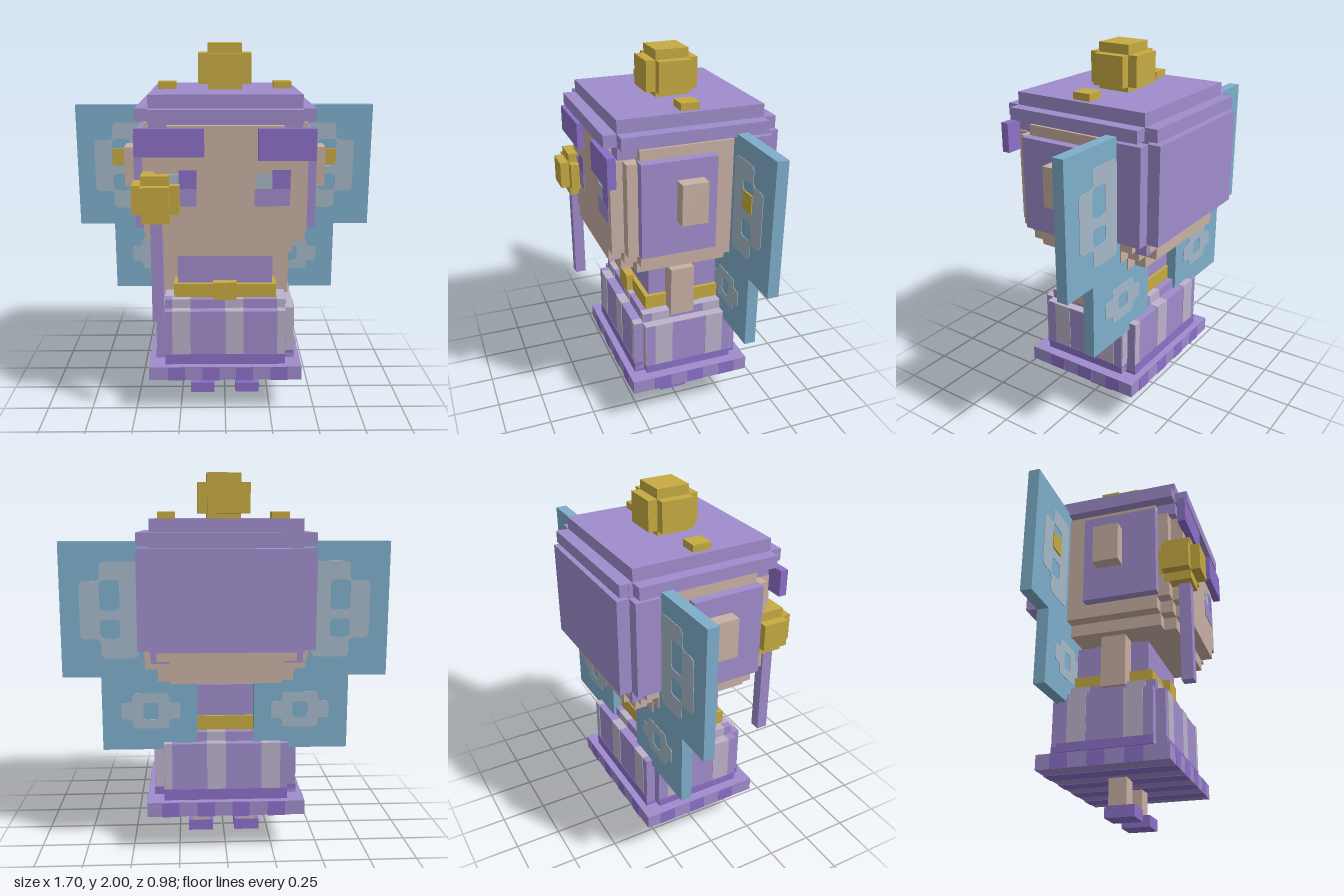
import * as THREE from 'three';

const mat = (name, color) => {
  const m = new THREE.MeshStandardMaterial({ color });
  m.name = name;
  return m;
};

export function createModel() {
  const skin = mat('skin', 0xc8b0a4), purple = mat('lilac', 0x9f8ccb), dark = mat('violet', 0x8c70c8);
  const gold = mat('gold', 0xc6aa42), blue = mat('wing blue', 0x7eaecb);
  const pale = mat('pale wing', 0xa5b8c8), stripe = mat('pale stripe', 0xbcb2cb);
  const model = new THREE.Group();
  model.name = 'wingedFigure';

  // Box given by its limits on each axis
  const box = (name, m, x0, x1, y0, y1, z0, z1, parent = model) => {
    const mesh = new THREE.Mesh(new THREE.BoxGeometry(x1 - x0, y1 - y0, z1 - z0), m);
    mesh.position.set((x0 + x1) / 2, (y0 + y1) / 2, (z0 + z1) / 2);
    mesh.name = name;
    parent.add(mesh);
    return mesh;
  };
  // Box with stepped edges: overlapping boxes, each inset by whole steps
  const soft = [[0, 1, 1], [1, 0, 1], [1, 1, 0]];
  const softer = [[0, 1, 2], [0, 2, 1], [1, 0, 2], [2, 0, 1], [1, 2, 0], [2, 1, 0], [1, 1, 1]];
  const stepped = (name, m, [x0, x1, y0, y1, z0, z1], s, insets = soft) => {
    const g = new THREE.Group();
    g.name = name;
    for (const [a, b, c] of insets)
      box(name + 'Block', m, x0 + a * s, x1 - a * s, y0 + b * s, y1 - b * s, z0 + c * s, z1 - c * s, g);
    model.add(g);
  };

  // Head, ears and hair
  stepped('head', skin, [-0.42, 0.42, 0.925, 1.68, -0.425, 0.39], 0.065, softer);
  stepped('backHair', purple, [-0.45, 0.45, 1.045, 1.685, -0.488, -0.22], 0.065);
  for (const s of [-1, 1]) {
    const side = (name, m, a, b, ...r) => box(name, m, Math.min(s * a, s * b), Math.max(s * a, s * b), ...r);
    side('sideHair', purple, 0.4, 0.47, 1.065, 1.56, -0.125, 0.27);
    side('ear', skin, 0.46, 0.54, 1.245, 1.46, -0.05, 0.087);
    side('hatStud', gold, 0.26, 0.355, 1.75, 1.8, -0.07, 0.028);
    side('arm', skin, 0.26, 0.355, 0.625, 0.9, -0.06, 0.07);
    side('leg', skin, 0.083, 0.178, 0.05, 0.21, -0.073, 0.022);
    side('shoe', dark, 0.062, 0.2, 0, 0.06, -0.085, 0.07);
    side('wingBadge', gold, 0.55, 0.648, 1.305, 1.4, -0.235, -0.222);
  }
  box('rightFringe', dark, -0.45, -0.105, 1.465, 1.605, 0.385, 0.428);
  box('leftFringe', dark, 0.16, 0.447, 1.448, 1.605, 0.385, 0.428);

  // Eyes
  for (const x of [-0.235, 0.235]) {
    box('iris', dark, x, x + 0.09, 1.3, 1.395, 0.388, 0.394);
    box('eyeGlint', pale, x - 0.08, x, 1.3, 1.375, 0.388, 0.394);
    box('lowerIris', purple, x - 0.09, x + 0.09, 1.21, 1.3, 0.388, 0.394);
  }

  // Hat with a bun on top
  stepped('hatBrim', purple, [-0.45, 0.45, 1.565, 1.763, -0.47, 0.425], 0.067);
  stepped('bun', gold, [-0.14, 0.14, 1.74, 2, -0.167, 0.11], 0.05);

  // Torso and belt
  box('neck', purple, -0.2, 0.2, 0.85, 0.95, -0.155, 0.1);
  box('torso', purple, -0.26, 0.26, 0.6, 0.89, -0.225, 0.165);
  box('belt', gold, -0.28, 0.28, 0.63, 0.72, -0.24, 0.19);
  box('buckle', gold, -0.065, 0.062, 0.64, 0.74, 0.18, 0.225);

  // Skirt with pale stripes and a dark lower band
  box('skirtSides', purple, -0.38, 0.38, 0.295, 0.59, -0.275, 0.22);
  box('skirtFront', purple, -0.33, 0.33, 0.295, 0.59, -0.325, 0.27);
  box('skirtTop', purple, -0.33, 0.33, 0.295, 0.642, -0.275, 0.22);
  for (const x of [-0.29, 0, 0.285]) {
    const end = Math.min(x + 0.1, 0.329);
    box('skirtStripe', stripe, x, end, 0.34, 0.593, -0.328, 0.273);
    box('skirtStripe', stripe, x, end, 0.34, 0.644, -0.277, 0.222);
  }
  box('skirtStripe', stripe, 0.329, 0.379, 0.34, 0.593, -0.278, 0.223);
  for (const z of [0.07, -0.225]) {
    box('skirtStripe', stripe, -0.383, 0.383, 0.34, 0.593, z, z + 0.1);
    box('skirtStripe', stripe, -0.332, 0.332, 0.34, 0.644, z, z + 0.1);
  }
  box('skirtBand', dark, -0.33, 0.33, 0.27, 0.34, -0.328, 0.273);
  box('skirtBand', dark, -0.383, 0.383, 0.295, 0.34, -0.275, 0.22);

  // Hem with dark stripes
  box('hem', purple, -0.42, 0.42, 0.203, 0.28, -0.365, 0.31);
  for (const x of [-0.315, -0.125, 0.06, 0.25])
    box('hemStripe', dark, x, x + 0.093, 0.2, 0.279, -0.367, 0.312);
  for (const z of [0.09, -0.1, -0.29])
    box('hemStripe', dark, -0.422, 0.422, 0.204, 0.279, z, z + 0.093);

  // Wand
  box('wandStick', purple, -0.38, -0.32, 0.6, 1.2, 0.365, 0.425);
  stepped('wandHead', gold, [-0.47, -0.23, 1.13, 1.375, 0.25, 0.49], 0.049);

  // Wing markings are rounded outlines, with rounded holes
  const rounded = (path, pts, r) => {
    pts.forEach((p, i) => {
      const a = new THREE.Vector2(...pts[(i + pts.length - 1) % pts.length]);
      const b = new THREE.Vector2(...pts[(i + 1) % pts.length]);
      const c = new THREE.Vector2(...p);
      const from = c.clone().add(a.sub(c).setLength(r)), to = c.clone().add(b.sub(c).setLength(r));
      if (i === 0) path.moveTo(from.x, from.y); else path.lineTo(from.x, from.y);
      path.quadraticCurveTo(c.x, c.y, to.x, to.y);
    });
    path.closePath();
    return path;
  };
  const rect = (x0, x1, y0, y1) => [[x0, y0], [x1, y0], [x1, y1], [x0, y1]];
  const upper = rounded(new THREE.Shape(), [[0.45, 1.05], [0.645, 1.05], [0.645, 1.15], [0.75, 1.15],
    [0.75, 1.45], [0.645, 1.45], [0.645, 1.55], [0.45, 1.55]], 0.03);
  upper.holes.push(rounded(new THREE.Path(), rect(0.545, 0.648, 1.3, 1.455), 0.025));
  upper.holes.push(rounded(new THREE.Path(), rect(0.545, 0.648, 1.155, 1.25), 0.025));
  const lower = rounded(new THREE.Shape(), [[0.24, 0.72], [0.3, 0.72], [0.3, 0.67], [0.49, 0.67], [0.49, 0.72],
    [0.55, 0.72], [0.55, 0.81], [0.49, 0.81], [0.49, 0.86], [0.3, 0.86], [0.3, 0.81], [0.24, 0.81]], 0.02);
  lower.holes.push(rounded(new THREE.Path(), rect(0.355, 0.435, 0.72, 0.81), 0.02));
  const marking = new THREE.ExtrudeGeometry([upper, lower], { depth: 0.066, bevelEnabled: false, curveSegments: 4 });

  // Wings, mirrored by a half turn about their own plane
  for (const s of [-1, 1]) {
    const wing = new THREE.Group();
    wing.name = s > 0 ? 'leftWing' : 'rightWing';
    box('upperWing', blue, 0.15, 0.85, 0.95, 1.65, -0.03, 0.03, wing);
    box('lowerWing', blue, 0.15, 0.65, 0.555, 0.95, -0.03, 0.03, wing);
    const marks = new THREE.Mesh(marking, pale);
    marks.name = 'wingMarking';
    marks.position.z = -0.033;
    wing.add(marks);
    wing.position.z = -0.26;
    if (s < 0) wing.rotation.y = Math.PI;
    model.add(wing);
  }
  return model;
}
